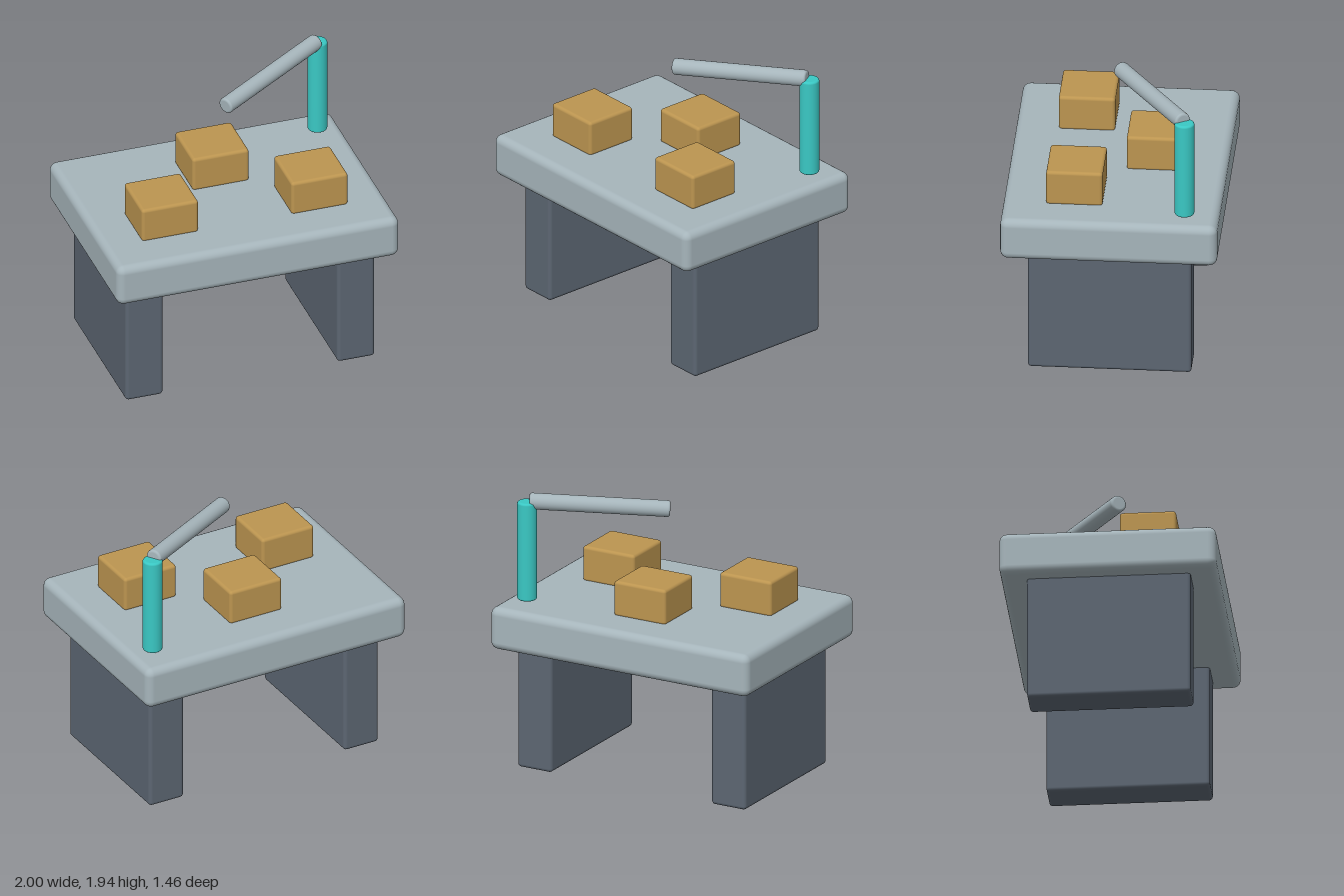
import * as THREE from 'three';
import { RoundedBoxGeometry } from 'three/addons/geometries/RoundedBoxGeometry.js';

const material = (name, color) => {
  const m = new THREE.MeshStandardMaterial({ color });
  m.name = name;
  return m;
};

export function createModel() {
  const group = new THREE.Group();
  const paleMetal = material('pale metal', 0xa6b5bb);
  const darkSteel = material('dark steel', 0x5c6672);
  const ochre = material('ochre', 0xbc9550);
  const teal = material('teal', 0x3ac8c4);

  const add = (name, geometry, mat, x, y, z) => {
    const mesh = new THREE.Mesh(geometry, mat);
    mesh.name = name;
    mesh.position.set(x, y, z);
    group.add(mesh);
    return mesh;
  };

  // Rod along y with rounded rims, centred on its middle
  const rod = (radius, length, rim) => {
    const points = [new THREE.Vector2(0, -length / 2), new THREE.Vector2(radius - rim * 1.1, -length / 2)];
    for (const end of [-1, 1]) {
      for (let i = 0; i <= 4; i++) {
        const a = (end < 0 ? 4 - i : i) * Math.PI / 8;
        points.push(new THREE.Vector2(
          radius - rim + rim * Math.cos(a),
          end * (length / 2 - rim + rim * Math.sin(a))));
      }
    }
    points.push(new THREE.Vector2(radius - rim * 1.1, length / 2), new THREE.Vector2(0, length / 2));
    return new THREE.LatheGeometry(points, 32);
  };

  // Table top and slab legs
  add('tableTop', new RoundedBoxGeometry(2, 0.3, 1.46, 3, 0.055), paleMetal, 0, 1.02, 0);
  for (const [name, x] of [['leftLeg', 0.75], ['rightLeg', -0.75]]) {
    add(name, new RoundedBoxGeometry(0.265, 0.9, 1.1, 3, 0.025), darkSteel, x, 0.45, 0);
  }

  // Blocks on the table
  const block = new RoundedBoxGeometry(0.4, 0.25, 0.38, 3, 0.022);
  [[-0.53, 0.25], [0, -0.25], [0.53, 0.25]].forEach(([x, z], i) => {
    add('block' + (i + 1), block, ochre, x, 1.285, z);
  });

  // Upright post
  add('post', rod(0.067, 0.695, 0.015), teal, 0.833, 1.536, -0.5);

  // Sloping arm reaching from the post to the middle
  const tip = new THREE.Vector3(0.01, 1.824, -0.007);
  const root = new THREE.Vector3(0.822, 1.885, -0.49);
  const along = root.clone().sub(tip);
  const middle = tip.clone().add(root).multiplyScalar(0.5);
  const arm = add('arm', rod(0.056, along.length(), 0.015), paleMetal, middle.x, middle.y, middle.z);
  arm.quaternion.setFromUnitVectors(new THREE.Vector3(0, 1, 0), along.normalize());

  return group;
}
